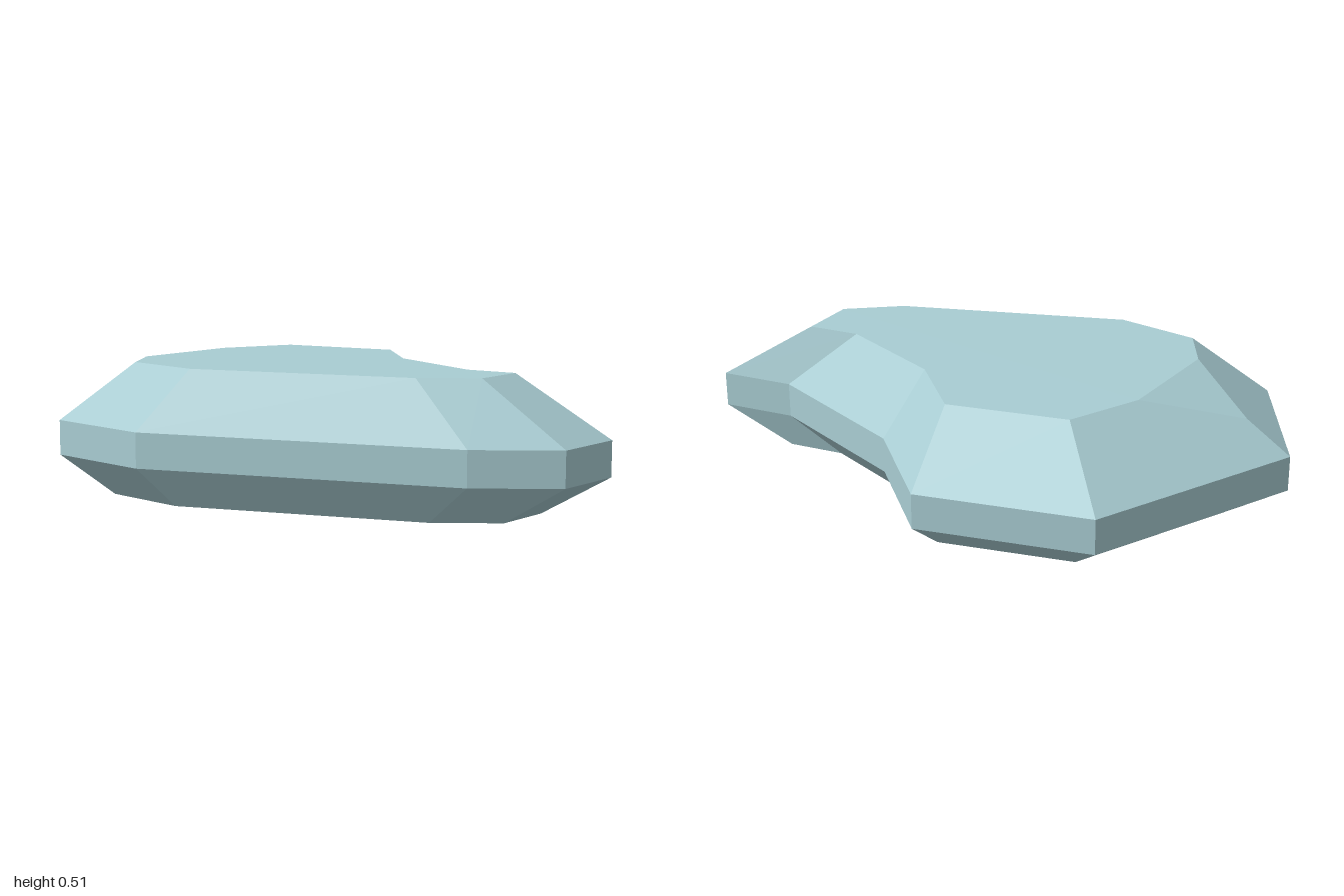
import * as THREE from 'three';

// Widest outline of the stone as [x, z], clockwise from above
const OUTLINE = [
  [-0.425, -1.0], [0.41, -0.89], [0.77, -0.35], [0.59, 0.05], [0.59, 0.66],
  [0.72, 0.905], [0.437, 0.995], [0.15, 0.81], [-0.66, -0.14], [-0.773, -0.57],
];

// The outline scaled about the centre at a given height
const ring = (y, scale) => OUTLINE.map(([x, z]) => new THREE.Vector3(x * scale, y, z * scale));

export function createModel() {
  const bottom = ring(0, 0.78);
  const lower = ring(0.15, 1);
  const upper = ring(0.285, 1);
  const top = ring(0.512, 0.69);
  const n = OUTLINE.length;
  const positions = [];

  const tri = (a, b, c) => [a, b, c].forEach((p) => positions.push(p.x, p.y, p.z));
  const face = (...p) => {
    for (let i = 1; i < p.length - 1; i++) tri(p[0], p[i], p[i + 1]);
  };

  // Flat cap over a concave ring, facing up (+1) or down (-1)
  const cap = (points, facing) => {
    const flat = points.map((p) => new THREE.Vector2(p.x, p.z));
    for (const [i, j, k] of THREE.ShapeUtils.triangulateShape(flat, [])) {
      const a = points[i], b = points[j], c = points[k];
      const normalY = (b.z - a.z) * (c.x - a.x) - (b.x - a.x) * (c.z - a.z);
      if (normalY * facing > 0) tri(a, b, c);
      else tri(a, c, b);
    }
  };

  // Chipped back corner: a slanted facet replaces the first top corner
  const chipTip = upper[0].clone().lerp(top[0], 0.5);
  const chipLeft = top[0].clone().lerp(top[n - 1], 0.5);
  const chipRight = top[0].clone().lerp(top[1], 0.5);

  for (let i = 0; i < n; i++) {
    const j = (i + 1) % n;
    // Undercut and upright band
    face(bottom[j], bottom[i], lower[i], lower[j]);
    face(lower[j], lower[i], upper[i], upper[j]);
    // Upper bevel, cut short beside the chip
    const start = i === 0 ? [chipTip, chipRight] : [top[i]];
    const end = j === 0 ? [chipLeft, chipTip] : [top[j]];
    face(upper[j], upper[i], ...start, ...end);
  }
  face(chipTip, chipLeft, chipRight);
  cap([chipRight, ...top.slice(1), chipLeft], 1);
  cap(bottom, -1);

  const geometry = new THREE.BufferGeometry();
  geometry.setAttribute('position', new THREE.Float32BufferAttribute(positions, 3));
  geometry.computeVertexNormals();

  const paleBlueStone = new THREE.MeshStandardMaterial({ color: 0xa9cdd3 });
  paleBlueStone.name = 'paleBlueStone';
  paleBlueStone.flatShading = true;

  const stone = new THREE.Mesh(geometry, paleBlueStone);
  stone.name = 'stoneSlab';
  const group = new THREE.Group();
  group.name = 'facetedStone';
  group.add(stone);
  return group;
}
